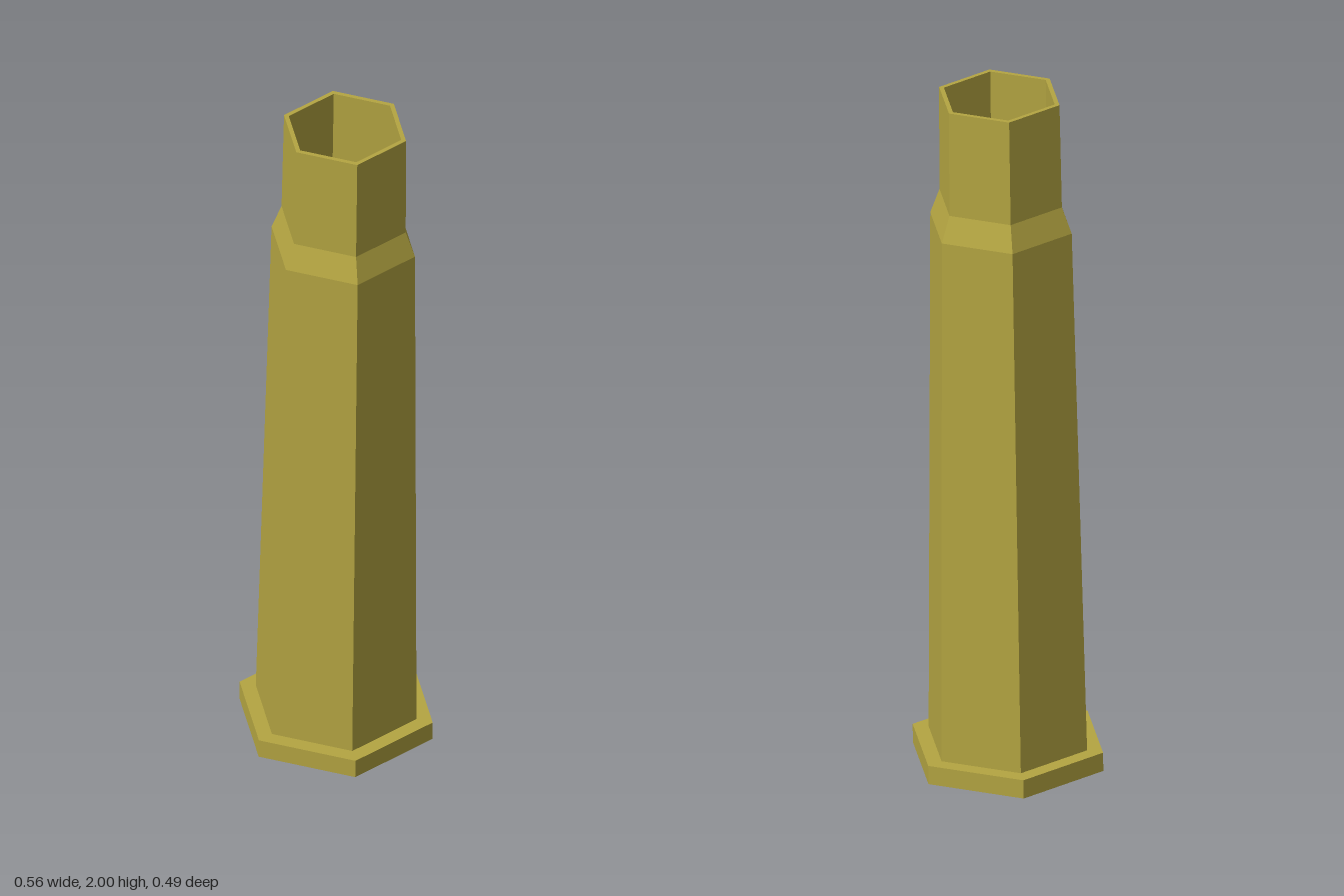
import * as THREE from 'three';

export function createModel() {
  const brass = new THREE.MeshStandardMaterial({ color: 0xb5a642, flatShading: true });
  const copper = new THREE.MeshStandardMaterial({ color: 0xe3bf9b, flatShading: true });
  const SIDES = 6;

  const model = new THREE.Group();
  model.name = 'emptyCasing';

  // Casing: closed six-sided profile, up the outside and down the inside
  const profile = [
    [0.113, 0.01], [0.125, 0],                    // bevelled primer pocket
    [0.28, 0], [0.28, 0.055], [0.233, 0.055],     // rim
    [0.208, 1.61], [0.18, 1.685], [0.177, 1.993], // body, shoulder, neck
    [0.163, 1.993], [0.165, 1.68], [0.193, 1.605], // mouth and inner wall
    [0.217, 0.06], [0.125, 0.06], [0.113, 0.05],  // inner floor
    [0.113, 0.01],
  ].map(([r, y]) => new THREE.Vector2(r, y));
  const casing = new THREE.Mesh(new THREE.LatheGeometry(profile, SIDES, Math.PI / 2), brass);
  casing.name = 'casing';
  model.add(casing);

  // Primer plug filling the pocket
  const plug = new THREE.CylinderGeometry(0.113, 0.113, 0.04, SIDES, 1, false, Math.PI / 2);
  const primer = new THREE.Mesh(plug, copper);
  primer.name = 'primer';
  primer.position.y = 0.03;
  model.add(primer);

  // The whole casing leans slightly forward
  model.rotation.set(0.0175, 0, -0.0015);
  model.position.y = 0.004;

  const group = new THREE.Group();
  group.add(model);
  return group;
}
